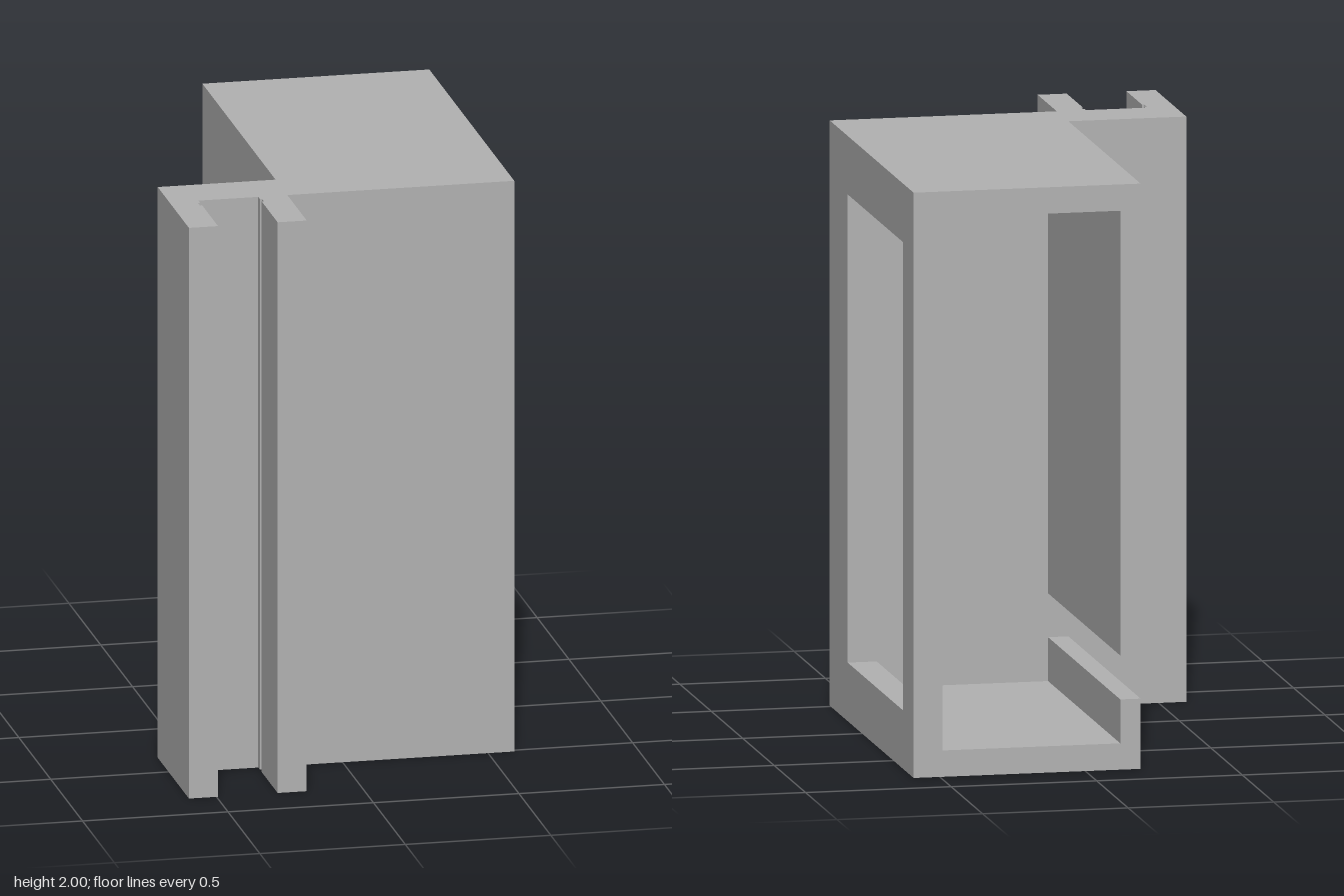
import * as THREE from 'three';

const HEIGHT = 2;
const BACK = -0.82;   // open rear edge of the housing
const INNER = 0.33;   // inner face of the front wall
const FRONT = 0.515;  // outer face of the front wall

const shapeOf = (points) => new THREE.Shape(points.map(([x, y]) => new THREE.Vector2(x, y)));
const extrude = (shape, depth) => new THREE.ExtrudeGeometry(shape, { depth, bevelEnabled: false });

export function createModel() {
  const group = new THREE.Group();
  const grey = new THREE.MeshStandardMaterial({ color: 0xb2b2b2 });
  grey.name = 'plainGrey';
  const add = (name, geometry) => {
    const mesh = new THREE.Mesh(geometry, grey);
    mesh.name = name;
    group.add(mesh);
  };

  // Front wall and forked rail: one plan outline (x, z) drawn up to full height
  const plan = [
    [0.59, INNER], [0.59, FRONT], [-0.19, FRONT], [-0.19, 0.82], [-0.29, 0.82],
    // small groove in each arm near the bottom of the channel
    [-0.29, 0.57], [-0.283, 0.57], [-0.283, 0.54], [-0.29, 0.54], [-0.29, FRONT],
    [-0.495, FRONT], [-0.495, 0.54], [-0.503, 0.54], [-0.503, 0.57], [-0.495, 0.57],
    [-0.495, 0.82], [-0.595, 0.82], [-0.595, INNER],
  ];
  add('frontWallAndRail',
    extrude(shapeOf(plan.map(([x, z]) => [x, -z])), HEIGHT).rotateX(-Math.PI / 2));

  // Floor with low lip, and roof with the long side wall; the slot lies between them
  const alongZ = (points) => extrude(shapeOf(points), INNER - BACK).translate(0, 0, BACK);
  add('floorAndLip', alongZ([
    [0.49, 0], [0.49, 0.09], [-0.12, 0.09], [-0.12, 0.24], [-0.19, 0.24], [-0.19, 0],
  ]));
  add('roofAndSideWall', alongZ([
    [0.49, 2], [0.49, 1.91], [-0.12, 1.91], [-0.12, 0.39], [-0.19, 0.39], [-0.19, 2],
  ]));

  // Side wall with a tall rectangular window, drawn in (z, y)
  const wall = shapeOf([[BACK, 0], [INNER, 0], [INNER, HEIGHT], [BACK, HEIGHT]]);
  wall.holes.push(shapeOf([[-0.655, 0.2], [-0.655, 1.8], [0.23, 1.8], [0.23, 0.2]]));
  add('windowWall', extrude(wall, 0.1).rotateY(-Math.PI / 2).translate(0.59, 0, 0));

  return group;
}
